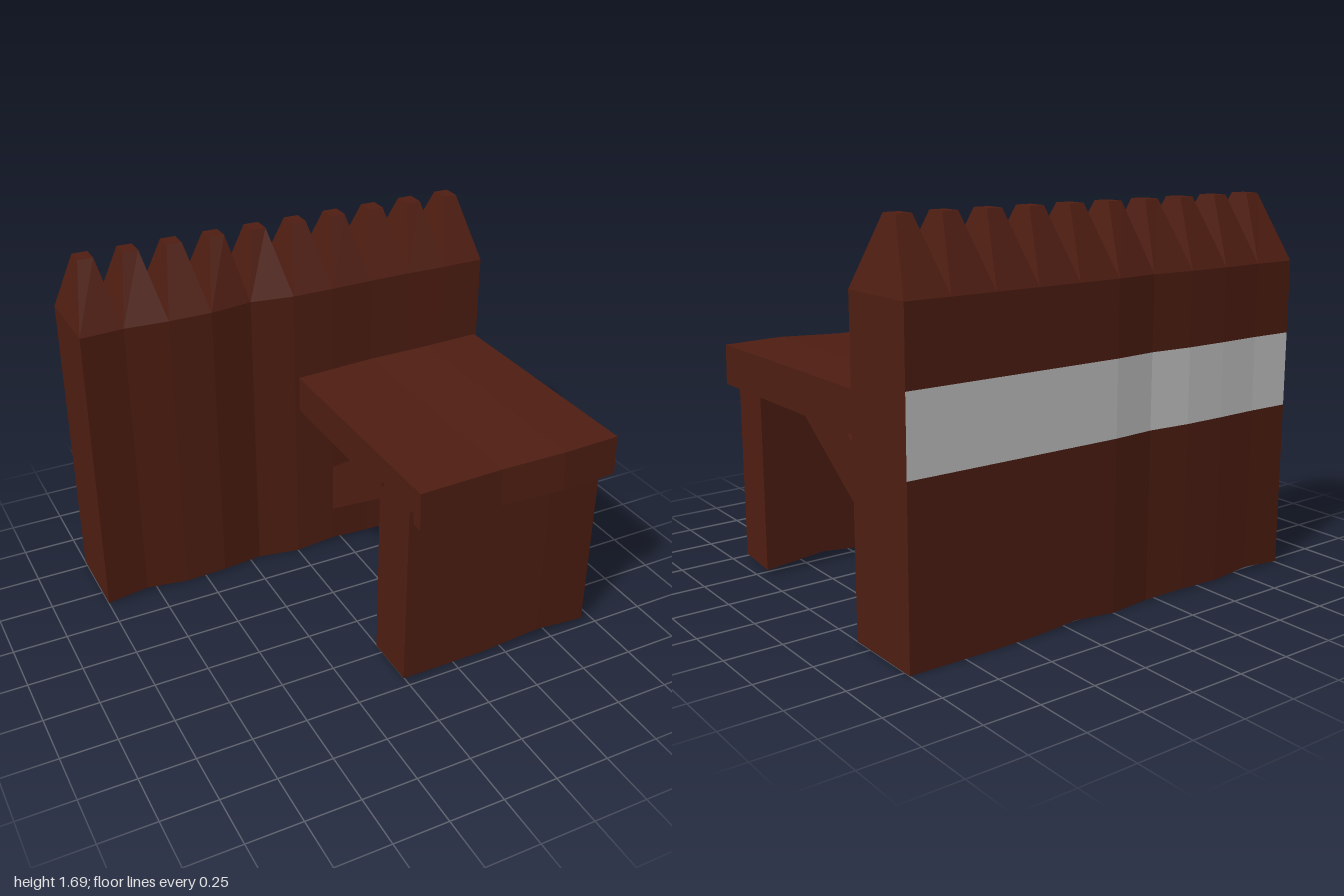
import * as THREE from 'three';
import { mergeGeometries } from 'three/addons/utils/BufferGeometryUtils.js';

const wood = new THREE.MeshStandardMaterial({ color: 0x501e12, flatShading: true, side: THREE.DoubleSide });
const grey = new THREE.MeshStandardMaterial({ color: 0xcccccc, flatShading: true, side: THREE.DoubleSide });

// Facets between successive rows of [x, y, z] points; rows run upwards, points run left to right
function surface(rows) {
  const pos = [];
  for (let j = 0; j + 1 < rows.length; j++) {
    for (let i = 0; i + 1 < rows[j].length; i++) {
      const a = rows[j][i], b = rows[j][i + 1], c = rows[j + 1][i + 1], d = rows[j + 1][i];
      pos.push(...a, ...b, ...c, ...a, ...c, ...d);
    }
  }
  const geo = new THREE.BufferGeometry();
  geo.setAttribute('position', new THREE.Float32BufferAttribute(pos, 3));
  geo.computeVertexNormals();
  return geo;
}

function part(name, geos, material = wood) {
  const mesh = new THREE.Mesh(mergeGeometries(geos), material);
  mesh.name = name;
  return mesh;
}

// Columns hold { x, f: front z, b: back z, y: bottom }
const front = (cols, y) => cols.map(c => [c.x, y ?? c.y, c.f]);
const back = (cols, y) => cols.map(c => [c.x, y ?? c.y, c.b]).reverse();
const ring = (cols, y) => {
  const r = [...front(cols, y), ...back(cols, y)];
  return [...r, r[0]];
};

function palisade(group) {
  const bottom = [0.005, 0.02, 0.005, 0.012, 0.004, 0, 0.018, 0.004, 0, 0, 0];
  const frontZ = [-0.4, -0.415, -0.4, -0.4, -0.43, -0.4, -0.4, -0.405, -0.405, -0.4, -0.4];
  const backZ = [-0.785, -0.78, -0.785, -0.785, -0.77, -0.785, -0.785, -0.785, -0.785, -0.785, -0.785];
  const cols = bottom.map((y, i) => ({ x: -1 + i * 0.2, y, f: frontZ[i], b: backZ[i] }));
  const TOP = 1.4, BAND_LOW = 0.75, BAND_HIGH = 1.08;

  // Hollow wall, open underneath, with a pale strip let into the back
  const first = cols[0], last = cols[10];
  const sides = [
    surface([[[1, last.y, last.f], [1, last.y, last.b]], [[1, TOP, last.f], [1, TOP, last.b]]]),
    surface([[[-1, first.y, first.b], [-1, first.y, first.f]], [[-1, TOP, first.b], [-1, TOP, first.f]]]),
  ];
  group.add(part('palisadeWall', [
    surface([front(cols), front(cols, TOP)]),
    surface([back(cols), back(cols, BAND_LOW)]),
    surface([back(cols, BAND_HIGH), back(cols, TOP)]),
    ...sides,
  ]));
  group.add(part('backBand', [surface([back(cols, BAND_LOW), back(cols, BAND_HIGH)])], grey));

  // Blunt four-sided point on every stake
  const tips = [];
  for (let i = 0; i < 10; i++) {
    const pair = [cols[i], cols[i + 1]];
    const mid = (cols[i].x + cols[i + 1].x) / 2;
    const tip = [-0.035, 0.035].map(dx => ({ x: mid + dx, f: -0.55, b: -0.635 }));
    tips.push(surface([ring(pair, TOP), ring(tip, 1.69)]));
    tips.push(surface([front(tip, 1.69), back(tip, 1.69).reverse()]));
  }
  group.add(part('stakePoints', tips));
}

function platform(group) {
  const cols = [
    { x: 0.005, f: 0.775, b: -0.365, top: 1.0 },
    { x: 0.4, f: 0.765, b: -0.388, top: 1.003 },
    { x: 0.7, f: 0.785, b: -0.37, top: 1.015 },
    { x: 0.98, f: 0.77, b: -0.387, top: 1.012 },
  ];
  const upper = cols.map(c => ({ x: c.x, y: c.top, f: c.f - 0.008, b: c.b }));
  group.add(part('platformDeck', [
    surface([ring(cols, 0.83), ring(upper)]),
    surface([front(upper), back(upper).reverse()]),
    surface([back(cols, 0.83).reverse(), front(cols, 0.83)]),
  ]));

  // Broad front support, open underneath
  const leg = [
    { x: -0.015, y: 0.02, f: 0.72, b: 0.47 },
    { x: 0.4, y: 0.02, f: 0.72, b: 0.47 },
    { x: 0.68, y: 0.048, f: 0.725, b: 0.47 },
    { x: 0.95, y: 0.02, f: 0.72, b: 0.47 },
  ];
  leg[3].x = 0.94;
  const rearEdge = 0.96;
  const legRing = y => ring(leg, y).map(p => (p[0] === 0.94 && p[2] === 0.47 ? [rearEdge, p[1], p[2]] : p));
  group.add(part('frontSupport', [surface([legRing(), legRing(0.89)])]));

  // Sloping braces between the wall and the deck
  const profile = new THREE.Shape([[0.48, 0.83], [0.13, 0.83], [-0.43, 0.42], [-0.43, 0.17], [0.48, 0.815]]
    .map(([z, y]) => new THREE.Vector2(-z, y)));
  for (const x of [0.2, 0.6]) {
    const geo = new THREE.ExtrudeGeometry(profile, { depth: 0.2, bevelEnabled: false });
    geo.rotateY(Math.PI / 2).translate(x, 0, 0);
    group.add(part('brace', [geo]));
  }
}

export function createModel() {
  const group = new THREE.Group();
  group.name = 'palisadeWithPlatform';
  palisade(group);
  platform(group);
  return group;
}
